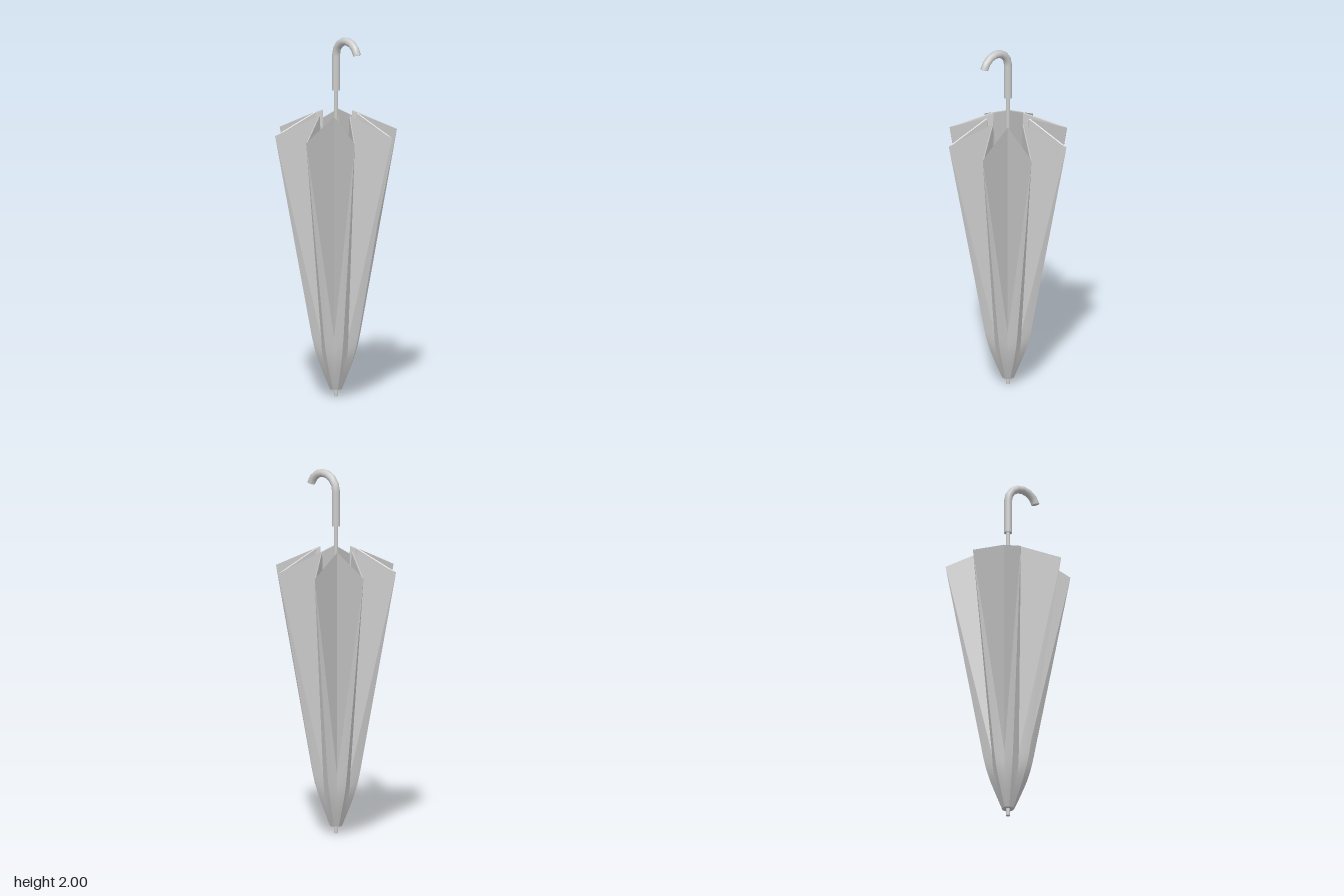
import * as THREE from 'three';
import { toCreasedNormals } from 'three/addons/utils/BufferGeometryUtils.js';

const RIBS = 8;
const grey = () => new THREE.MeshStandardMaterial({ color: 0xcccccc, side: THREE.DoubleSide });

function part(name, geometry, y = 0) {
  const mesh = new THREE.Mesh(geometry, grey());
  mesh.name = name;
  mesh.position.y = y;
  return mesh;
}

// Pleated shell: each ring is a star with its own fold and valley radius and height
function canopyGeometry() {
  // [fold radius, fold y, valley radius, valley y], up the outside then down the inside
  const rings = [
    [0.012, 0.04, 0.012, 0.04],
    [0.034, 0.04, 0.032, 0.04],
    [0.068, 0.12, 0.062, 0.12],
    [0.1, 0.2, 0.088, 0.2],
    [0.122, 0.27, 0.1, 0.27],
    [0.138, 0.34, 0.105, 0.34],
    [0.3465, 1.46, 0.12, 1.57],
    [0.325, 1.465, 0.113, 1.568],
    [0.122, 0.34, 0.098, 0.34],
    [0.088, 0.2, 0.08, 0.2],
    [0.026, 0.055, 0.025, 0.055],
    [0.012, 0.055, 0.012, 0.055],
  ];
  const n = RIBS * 2;
  const positions = [];
  const index = [];
  rings.forEach(([foldR, foldY, valleyR, valleyY], row) => {
    for (let i = 0; i < n; i++) {
      const fold = i % 2 === 1;
      const a = (i / n) * Math.PI * 2;
      const r = fold ? foldR : valleyR;
      positions.push(r * Math.sin(a), fold ? foldY : valleyY, r * Math.cos(a));
      if (row === rings.length - 1) continue;
      const j = (i + 1) % n;
      const p = row * n + i, q = row * n + j;
      // Mirror the quad diagonal on either side of each fold
      if (fold) index.push(p, q, p + n, q, q + n, p + n);
      else index.push(p, q, q + n, p, q + n, p + n);
    }
  });
  const geometry = new THREE.BufferGeometry();
  geometry.setAttribute('position', new THREE.Float32BufferAttribute(positions, 3));
  geometry.setIndex(index);
  return toCreasedNormals(geometry, 0.5);
}

// Circular bend of the crook, from straight up round to the hooked end
class CrookArc extends THREE.Curve {
  getPoint(t, target = new THREE.Vector3()) {
    const a = Math.PI * (1 - t * 0.91);
    return target.set(0.092 + 0.092 * Math.cos(a), 1.887 + 0.091 * Math.sin(a), 0);
  }
}

export function createModel() {
  const model = new THREE.Group();
  model.name = 'closedUmbrella';

  model.add(part('canopy', canopyGeometry()));

  // Shaft runs from the ferrule tip up into the grip
  model.add(part('shaft', new THREE.CylinderGeometry(0.012, 0.012, 1.72, 12), 0.86));

  // Hooked handle: straight grip, bend and end cap
  const handle = new THREE.Group();
  handle.name = 'handle';
  const gripR = 0.022;
  handle.add(part('grip', new THREE.CylinderGeometry(gripR, gripR, 0.195, 12), 1.7925));
  const arc = new CrookArc();
  handle.add(part('crook', new THREE.TubeGeometry(arc, 7, gripR, 12)));
  const cap = part('crookEnd', new THREE.CircleGeometry(gripR, 12));
  cap.position.copy(arc.getPoint(1));
  cap.quaternion.setFromUnitVectors(new THREE.Vector3(0, 0, 1), arc.getTangent(1));
  handle.add(cap);
  model.add(handle);

  return model;
}
